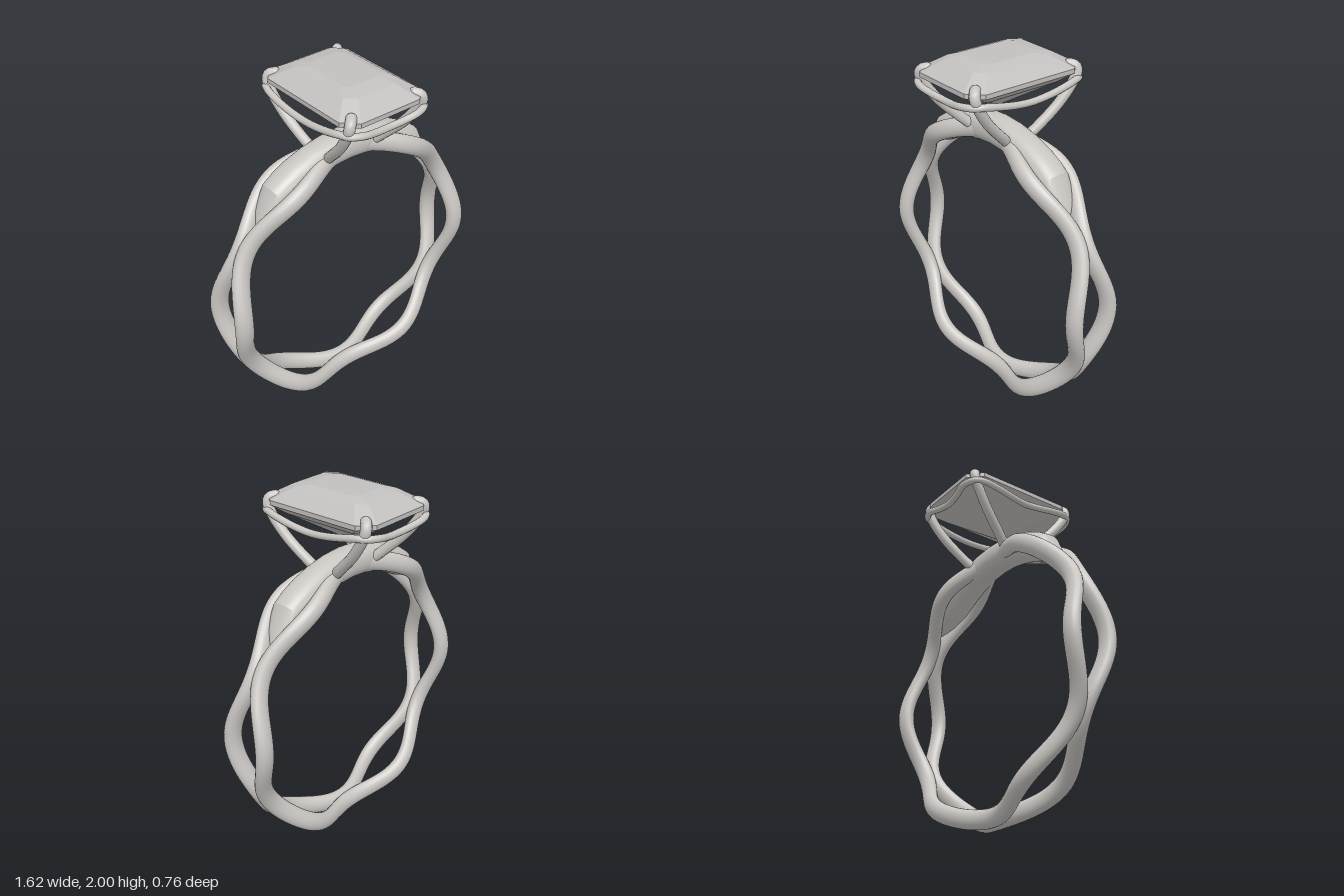
import * as THREE from 'three';
import { toCreasedNormals } from 'three/addons/utils/BufferGeometryUtils.js';

const V = (x, y, z) => new THREE.Vector3(x, y, z);
const rad = THREE.MathUtils.degToRad;
const CENTRE_Y = 0.81, BAND_R = 0.757;

// Skin a list of equal-sized rings of points; the faces always end up pointing outward
function loft(rings, closed = false) {
  const n = rings[0].length, m = rings.length, pts = rings.flat(), index = [];
  for (let i = 0; i < (closed ? m : m - 1); i++) {
    for (let j = 0; j < n; j++) {
      const a = i * n + j, b = i * n + (j + 1) % n;
      const c = ((i + 1) % m) * n + j, d = ((i + 1) % m) * n + (j + 1) % n;
      index.push(a, c, b, b, c, d);
    }
  }
  let volume = 0;
  const cross = V(0, 0, 0);
  for (let i = 0; i < index.length; i += 3) {
    volume += cross.crossVectors(pts[index[i + 1]], pts[index[i + 2]]).dot(pts[index[i]]);
  }
  if (volume < 0) index.reverse();
  const g = new THREE.BufferGeometry().setFromPoints(pts);
  g.setIndex(index);
  g.computeVertexNormals();
  return g;
}

// Rounded section standing on the band circle at angle t
function section(t, r, z, halfR, halfZ, sides, power = 2) {
  const ring = [];
  for (let j = 0; j < sides; j++) {
    const a = j / sides * Math.PI * 2, c = Math.cos(a), s = Math.sin(a);
    const p = r + halfR * Math.sign(c) * Math.abs(c) ** (2 / power);
    const w = z + halfZ * Math.sign(s) * Math.abs(s) ** (2 / power);
    ring.push(V(Math.cos(t) * p, CENTRE_Y + Math.sin(t) * p, w));
  }
  return ring;
}

// Wavy strand: swings away from and back to its twin six times around
function strand(side) {
  const rings = [];
  for (let i = 0; i < 192; i++) {
    const t = i / 192 * Math.PI * 2;
    rings.push(section(t, BAND_R, side * (0.07 + 0.045 * Math.cos(6 * t)), 0.053, 0.041, 20));
  }
  return loft(rings, true);
}

// Solid bridge filling the gap between strands at the top, tapering at both ends
function bridge() {
  // angle from the top, inner radius, outer radius, half width
  const half = [[0, 0.685, 0.85, 0.083], [8, 0.685, 0.85, 0.083], [16, 0.686, 0.85, 0.085],
    [24, 0.688, 0.85, 0.088], [30, 0.69, 0.849, 0.088], [35, 0.695, 0.846, 0.085],
    [38, 0.71, 0.82, 0.08], [44, 0.73, 0.785, 0.055], [49, 0.757, 0.758, 0.001]];
  const stations = [...half.slice(1).reverse().map(([u, ...k]) => [-u, ...k]), ...half];
  const rings = stations.map(([u, ri, ro, w]) =>
    section(rad(90 + u), (ri + ro) / 2, 0, (ro - ri) / 2, w, 40, 2.3));
  return toCreasedNormals(loft(rings), 0.45);
}

// Step-cut stone: stacked rectangles with clipped corners
function stone() {
  const octagon = ([x, z, c, y]) => [
    [x, z - c], [x - c, z], [c - x, z], [-x, z - c],
    [-x, c - z], [c - x, -z], [x - c, -z], [x, c - z]].map(([px, pz]) => V(px, y, pz));
  const g = loft([
    [0, 0, 0, 2], [0.118, 0.165, 0.035, 2], [0.168, 0.25, 0.05, 1.983],
    [0.26, 0.357, 0.075, 1.92], [0.26, 0.357, 0.075, 1.895],
    [0.2, 0.28, 0.06, 1.848], [0, 0, 0, 1.715]].map(octagon)).toNonIndexed();
  g.computeVertexNormals();
  return g;
}

export function createModel() {
  const model = new THREE.Group();
  model.name = 'ring';
  const metal = new THREE.MeshStandardMaterial({ color: 0xc9c6c2 });
  metal.name = 'polished metal';
  const gem = new THREE.MeshStandardMaterial({ color: 0xc2c0be });
  gem.name = 'stone grey';
  const add = (name, geometry, material, parent = model) => {
    const mesh = new THREE.Mesh(geometry, material);
    mesh.name = name;
    parent.add(mesh);
    return mesh;
  };

  // Band
  add('frontStrand', strand(1), metal);
  add('backStrand', strand(-1), metal);
  add('bridge', bridge(), metal);

  // Four prongs, each hooking over a corner of the stone
  const prongPath = [[0.15, 1.56, 0.05], [0.178, 1.63, 0.125], [0.208, 1.73, 0.225],
    [0.228, 1.83, 0.298], [0.232, 1.89, 0.326], [0.222, 1.918, 0.322], [0.2, 1.927, 0.3]];
  for (const sx of [1, -1]) {
    for (const sz of [1, -1]) {
      const prong = new THREE.Group();
      prong.name = (sz > 0 ? 'front' : 'back') + (sx > 0 ? 'Left' : 'Right') + 'Prong';
      const pts = prongPath.map(([x, y, z]) => V(sx * x, y, sz * z));
      add('prongWire', new THREE.TubeGeometry(new THREE.CatmullRomCurve3(pts), 40, 0.028, 14), metal, prong);
      add('prongTip', new THREE.SphereGeometry(0.028, 16, 12), metal, prong)
        .position.copy(pts[pts.length - 1]);
      model.add(prong);
    }
  }

  // Gallery wire: one quarter mirrored into a closed loop that dips between the prongs
  const quarter = [[0.268, 1.817, 0], [0.272, 1.826, 0.1], [0.272, 1.845, 0.21],
    [0.262, 1.858, 0.285], [0.237, 1.858, 0.335], [0.172, 1.852, 0.362], [0.09, 1.835, 0.352]];
  const mid = [0, 1.827, 0.343];
  const mirror = (list, sx, sz) => list.map(([x, y, z]) => V(sx * x, y, sz * z));
  const loop = [
    ...mirror(quarter, 1, 1), ...mirror([mid], 1, 1),
    ...mirror(quarter.slice(1).reverse(), -1, 1), ...mirror(quarter, -1, -1),
    ...mirror([mid], 1, -1), ...mirror(quarter.slice(1).reverse(), 1, -1)];
  add('galleryWire', new THREE.TubeGeometry(new THREE.CatmullRomCurve3(loop, true), 160, 0.019, 12, true), metal);

  // Stone
  add('stone', stone(), gem);
  return model;
}
